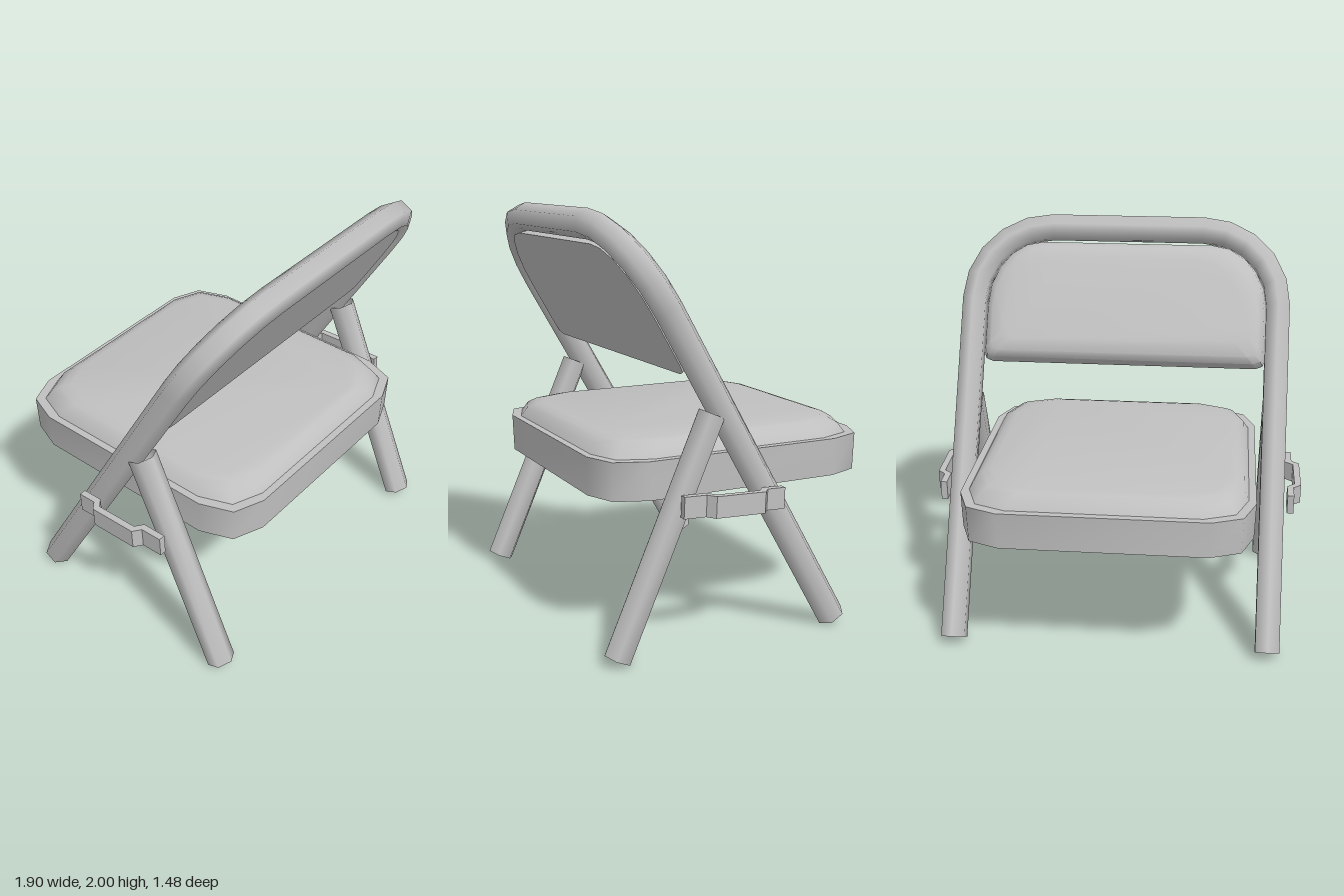
import * as THREE from 'three';
import { toCreasedNormals } from 'three/addons/utils/BufferGeometryUtils.js';

// Skin a stack of equal rings (counter-clockwise about the travel direction), optionally capped
function loft(rings, crease, capped = true) {
  const n = rings[0].length, pos = [];
  const tri = (...pts) => pts.forEach((p) => pos.push(p.x, p.y, p.z));
  for (let i = 0; i < rings.length - 1; i++) {
    for (let j = 0; j < n; j++) {
      const k = (j + 1) % n, a = rings[i], b = rings[i + 1];
      tri(a[j], a[k], b[k]);
      tri(a[j], b[k], b[j]);
    }
  }
  if (capped) {
    const first = rings[0], last = rings[rings.length - 1];
    for (let j = 1; j < n - 1; j++) {
      tri(first[0], first[j + 1], first[j]);
      tri(last[0], last[j], last[j + 1]);
    }
  }
  const g = new THREE.BufferGeometry();
  g.setAttribute('position', new THREE.Float32BufferAttribute(pos, 3));
  return toCreasedNormals(g, crease);
}

// Open six-sided pipe along a path in the local xy plane, with mitred joints
function pipe(path, r = 0.07) {
  const rings = path.map((p, i) => {
    const before = p.clone().sub(path[Math.max(i - 1, 0)]).normalize();
    const after = path[Math.min(i + 1, path.length - 1)].clone().sub(p).normalize();
    const t = before.clone().add(after).normalize();
    const ref = before.lengthSq() > 0 ? before : after;
    const miter = 1 / t.dot(ref);
    return Array.from({ length: 6 }, (_, k) => {
      const a = (k * Math.PI) / 3, side = r * Math.sin(a) * miter;
      return new THREE.Vector3(p.x + t.y * side, p.y - t.x * side, r * Math.cos(a));
    });
  });
  return loft(rings, 1.25, false);
}

// Seat outline with clipped corners at a given height
function seatRing(y, inset) {
  const w = 0.71 - inset, l = 0.713 - inset;
  const q = [[w - 0.21, l], [w - 0.06, l - 0.06], [w, l - 0.22]];
  const r = [...q].reverse();
  return [
    ...q, ...r.map(([x, z]) => [x, -z]),
    ...q.map(([x, z]) => [-x, -z]), ...r.map(([x, z]) => [-x, z]),
  ].map(([x, z]) => new THREE.Vector3(x, y, z - 0.027));
}

// Backrest outline: small lower corners, large rounded upper corners
function backRing(z, inset) {
  const w = 0.745 - inset, bottom = 1.455 + inset, top = 2.114 - inset;
  const half = [[w - 0.05, bottom], [w - 0.012, bottom + 0.015], [w, bottom + 0.05]];
  for (let i = 0; i <= 5; i++) {
    const a = (i * Math.PI) / 10;
    half.push([w - 0.28 + 0.28 * Math.cos(a), top - 0.35 + 0.35 * Math.sin(a)]);
  }
  const mirrored = [...half].reverse().map(([x, y]) => [-x, y]);
  return [...half, ...mirrored].map(([x, y]) => new THREE.Vector3(x, y, z));
}

export function createModel() {
  const model = new THREE.Group();
  model.name = 'foldingChair';
  const grey = new THREE.MeshStandardMaterial({ color: 0xc0c0c0, side: THREE.DoubleSide });
  grey.name = 'grey';

  const add = (name, geometry, parent = model) => {
    const mesh = new THREE.Mesh(geometry, grey);
    mesh.name = name;
    parent.add(mesh);
    return mesh;
  };

  // Seat pan and its padded top
  add('seatPan', loft([seatRing(0.707, 0.005), seatRing(0.89, 0)], 0.9));
  add('seatCushion', loft([
    seatRing(0.885, 0.033), seatRing(0.935, 0.06), seatRing(0.96, 0.095), seatRing(0.97, 0.13),
  ], 0.9));

  // Leaning hoop with the backrest in its plane
  const back = new THREE.Group();
  back.name = 'backAssembly';
  back.position.set(0, 0.035, -0.46);
  back.rotation.x = 0.519;
  model.add(back);

  const right = [new THREE.Vector2(0.8, 0)];
  for (let i = 0; i <= 5; i++) {
    const a = (i * Math.PI) / 10;
    right.push(new THREE.Vector2(0.4 + 0.4 * Math.cos(a), 1.78 + 0.4 * Math.sin(a)));
  }
  const left = [...right].reverse().map((p) => new THREE.Vector2(-p.x, p.y));
  add('backFrame', pipe([...right, ...left]), back);
  add('backrest', loft([
    backRing(-0.042, 0.11), backRing(-0.03, 0.045), backRing(0, 0.015), backRing(0.056, 0),
  ], 0.65), back);

  // Bent strap seen from above: x outward, y standing for -z
  const strap = new THREE.Shape([
    [0.878, -0.4], [0.911, -0.4], [0.911, -0.29], [0.95, -0.26],
    [0.95, -0.01], [0.911, 0.022], [0.911, 0.115], [0.878, 0.115],
    [0.878, 0.01], [0.917, -0.022], [0.917, -0.245], [0.878, -0.275],
  ].map(([x, y]) => new THREE.Vector2(x, y)));

  for (const side of [1, -1]) {
    const name = side > 0 ? 'left' : 'right';

    // Straight front leg
    const leg = add(name + 'FrontLeg', pipe([new THREE.Vector2(0, 0), new THREE.Vector2(0, 1.17)]));
    leg.position.set(side * 0.8, 0.03, 0.675);
    leg.rotation.x = -0.412;

    // Hinge strap joining the legs
    const g = new THREE.ExtrudeGeometry(strap, { depth: 0.1, bevelEnabled: false });
    g.translate(0, 0, -0.05);
    g.rotateX(-Math.PI / 2);
    if (side < 0) {
      g.rotateZ(Math.PI);
    }
    const bracket = add(name + 'HingeStrap', g);
    bracket.position.y = 0.703;
    bracket.rotation.x = -0.04;
  }
  return model;
}
